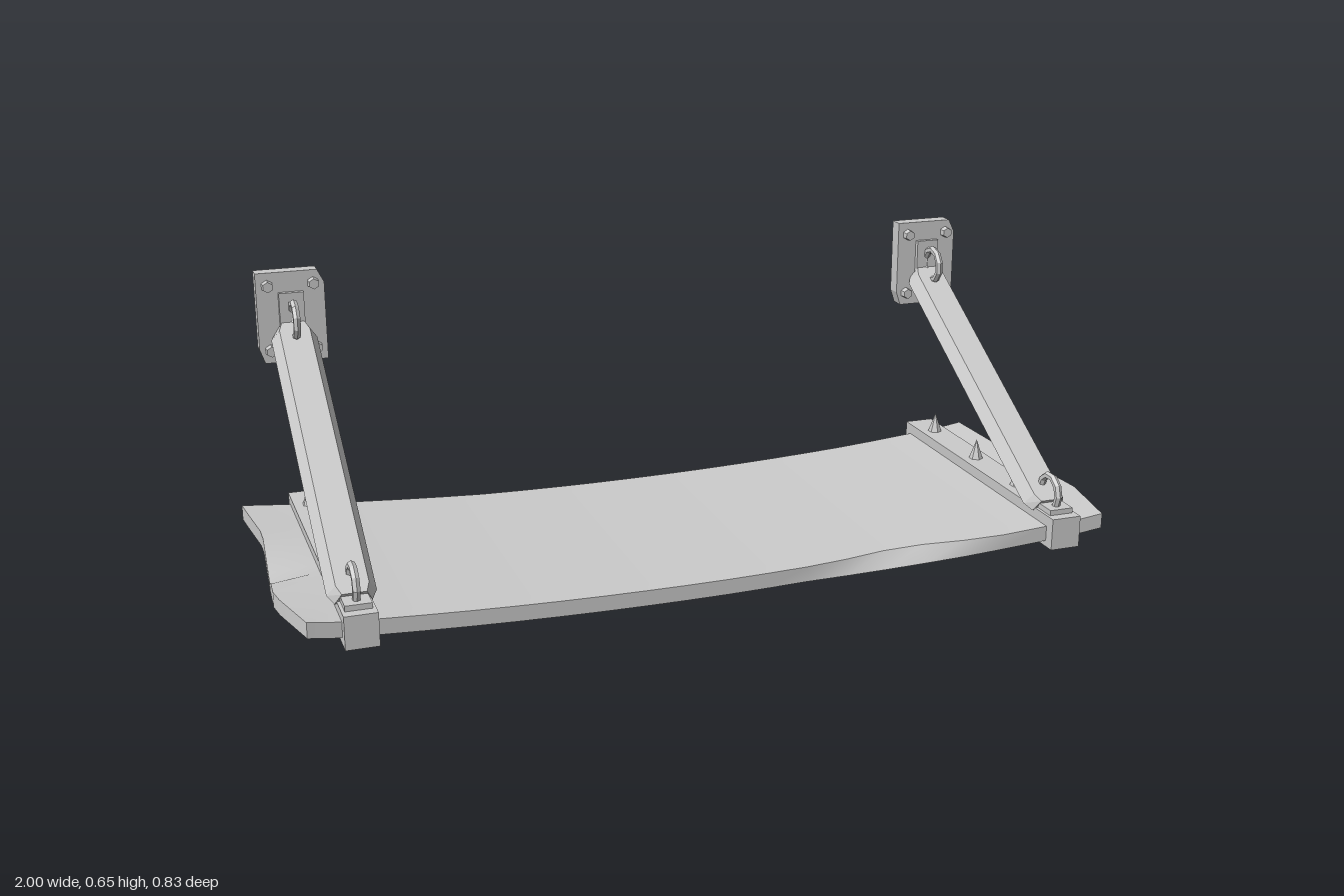
import * as THREE from 'three';
import { toCreasedNormals } from 'three/addons/utils/BufferGeometryUtils.js';

const flat = new THREE.MeshStandardMaterial({ color: 0xcccccc, flatShading: true });
const smooth = new THREE.MeshStandardMaterial({ color: 0xcccccc });

function add(parent, name, geometry, x, y, z, material = flat) {
  const mesh = new THREE.Mesh(geometry, material);
  mesh.name = name;
  mesh.position.set(x, y, z);
  parent.add(mesh);
  return mesh;
}

// Piecewise linear lookup in a list of [input, output] pairs
function lookup(points, t) {
  if (t <= points[0][0]) return points[0][1];
  for (let i = 1; i < points.length; i++) {
    const [a, va] = points[i - 1], [b, vb] = points[i];
    if (t <= b) return va + (vb - va) * (t - a) / (b - a);
  }
  return points[points.length - 1][1];
}

// Worn outline of the board
const frontEdge = [[-1, 0.39], [0, 0.375], [0.2, 0.37], [0.6, 0.385], [1, 0.39]];
const backEdge = [[-1, -0.355], [-0.4, -0.332], [0.1, -0.337], [0.6, -0.342], [1, -0.355]];
const rightEnd = [[-0.35, -0.997], [-0.15, -0.975], [0.12, -0.995], [0.22, -1], [0.39, -0.955]];
const leftEnd = [[-0.35, 0.967], [-0.1, 0.975], [0.2, 1], [0.39, 0.965]];

// Sagging board: a subdivided box bent and trimmed to the outline
function boardGeometry() {
  const g = new THREE.BoxGeometry(2, 1, 1, 20, 1, 16);
  const p = g.attributes.position;
  for (let i = 0; i < p.count; i++) {
    const u = p.getX(i), top = p.getY(i) > 0, v = p.getZ(i) + 0.5;
    let z = THREE.MathUtils.lerp(lookup(backEdge, u), lookup(frontEdge, u), v);
    let x = u;
    if (u < -0.99) x = lookup(rightEnd, z);
    if (u > 0.99) x = lookup(leftEnd, z);
    let y = 0.002 + 0.043 * u * u + (top ? 0.037 : 0);
    // chipped front edge and broken right end
    if (top && v > 0.99) z -= Math.max(0, 1 - Math.abs(u - 0.45) / 0.22) * 0.035;
    if (top && u < -0.95 && z < 0.12 && z > -0.15) y -= 0.018 * (z + 0.15) / 0.27;
    p.setXYZ(i, x, y, z);
  }
  return toCreasedNormals(g, 0.5);
}

// Tapered brace with narrowed ends
function braceGeometry() {
  const g = new THREE.BoxGeometry(0.11, 0.032, 0.82, 1, 1, 3);
  const p = g.attributes.position;
  for (let i = 0; i < p.count; i++) {
    const z = p.getZ(i), end = Math.abs(z) > 0.4;
    const scale = (p.getY(i) > 0 ? 0.66 : 1) * (end ? 0.75 : 1);
    p.setX(i, p.getX(i) * scale);
    if (!end) p.setZ(i, Math.sign(z) * 0.385);
  }
  return g;
}

// Wall plate with two clipped corners
function plateGeometry() {
  const s = new THREE.Shape([
    [-0.082, 0.035 - 0.112], [-0.07, -0.112], [0.082, -0.112],
    [0.082, 0.08], [0.066, 0.112], [-0.082, 0.112],
  ].map(([x, y]) => new THREE.Vector2(x, y)));
  return new THREE.ExtrudeGeometry(s, { depth: 0.037, bevelEnabled: false });
}

// Ring standing on a small base plate
function ringMount(name, ringHeight) {
  const group = new THREE.Group();
  group.name = name;
  add(group, 'ringBase', new THREE.BoxGeometry(0.06, 0.013, 0.118), 0, 0.0055, 0);
  const ring = add(group, 'ring', new THREE.TorusGeometry(0.041, 0.0095, 6, 10), 0, ringHeight, 0);
  ring.rotation.y = Math.PI / 2;
  return group;
}

function support(name, x) {
  const group = new THREE.Group();
  group.name = name;
  group.position.x = x;

  add(group, 'crossBeam', new THREE.BoxGeometry(0.075, 0.078, 0.79), 0, 0.055, 0.02);
  for (const z of [0.173, -0.043, -0.278]) {
    add(group, 'spike', new THREE.ConeGeometry(0.018, 0.052, 6), 0, 0.119, z);
  }

  const brace = add(group, 'brace', braceGeometry(), 0, 0.309, -0.02);
  brace.rotation.x = Math.atan(0.593);

  const lower = ringMount('lowerRingMount', 0.036);
  lower.position.set(0, 0.095, 0.33);
  const upper = ringMount('upperRingMount', 0.043);
  upper.position.set(0, 0.545, -0.378);
  upper.rotation.x = Math.PI / 2;
  group.add(lower, upper);

  add(group, 'wallPlate', plateGeometry(), 0, 0.542, -0.415);
  for (const bx of [-0.055, 0.055]) {
    for (const by of [0.462, 0.622]) {
      const bolt = add(group, 'bolt', new THREE.CylinderGeometry(0.013, 0.015, 0.018, 6), bx, by, -0.37);
      bolt.rotation.x = Math.PI / 2;
    }
  }
  return group;
}

export function createModel() {
  const model = new THREE.Group();
  model.name = 'hangingShelf';
  add(model, 'board', boardGeometry(), 0, 0, 0, smooth);
  model.add(support('rightSupport', -0.843), support('leftSupport', 0.852));
  return model;
}
